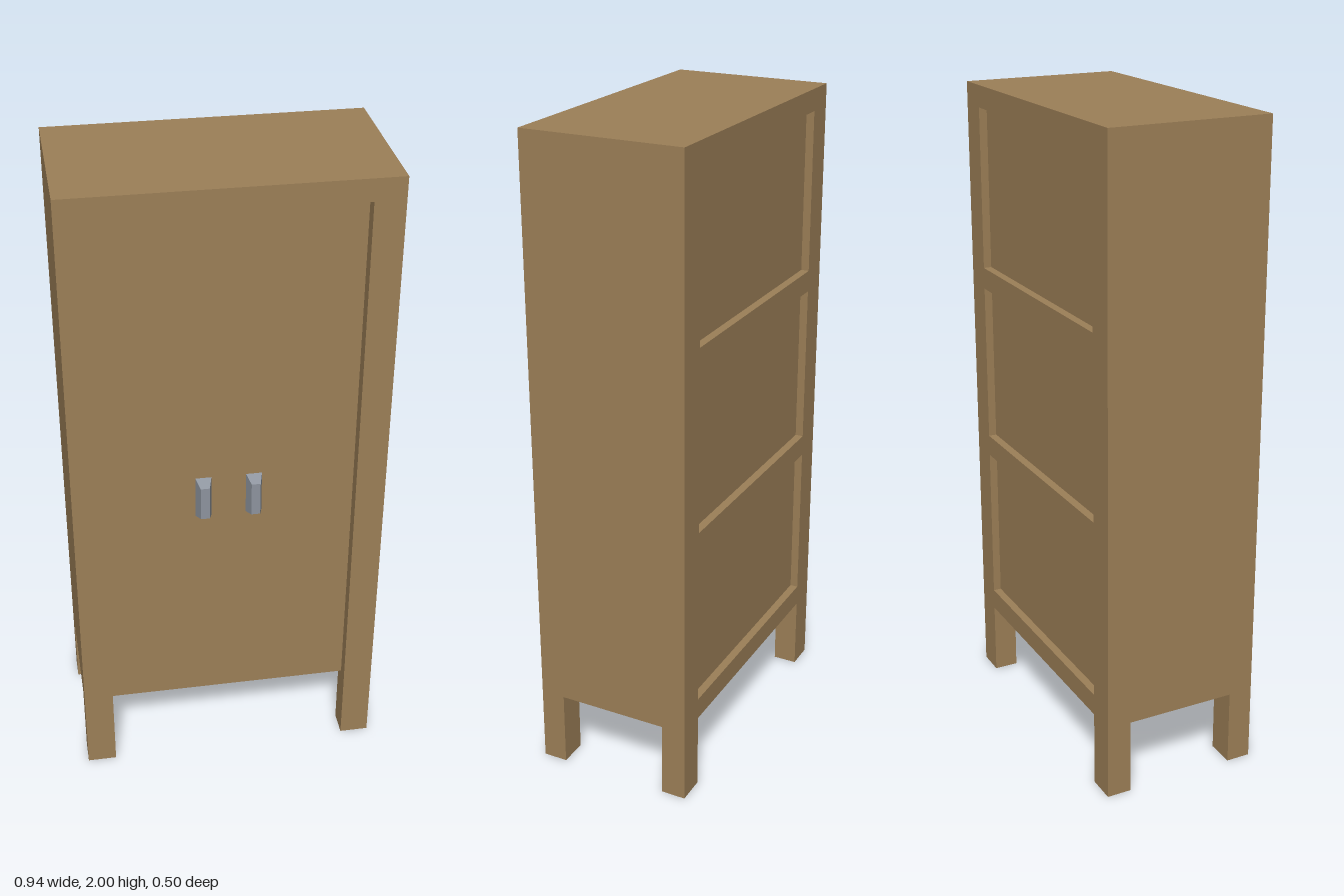
import * as THREE from 'three';

const HALF_W = 0.47, INNER_W = 0.38;   // outer and inner half widths
const HALF_D = 0.248, LEG_IN = 0.172;  // outer half depth, inner edge of legs
const HEIGHT = 2, FLOOR = 0.237, RAIL = 0.067;
const DOOR_Z = 0.208, BACK_Z = -0.223; // recessed front and back planes

export function createModel() {
  const wood = new THREE.MeshStandardMaterial({ color: 0x9c7f57 });
  wood.name = 'wood';
  const metal = new THREE.MeshStandardMaterial({ color: 0x8d949e });
  metal.name = 'handleMetal';

  const cabinet = new THREE.Group();
  cabinet.name = 'cabinet';

  const add = (name, geometry, material) => {
    const mesh = new THREE.Mesh(geometry, material);
    mesh.name = name;
    cabinet.add(mesh);
    return mesh;
  };
  // Box given by its limits on each axis
  const block = (name, x0, x1, y0, y1, z0, z1) =>
    add(name, new THREE.BoxGeometry(x1 - x0, y1 - y0, z1 - z0), wood)
      .position.set((x0 + x1) / 2, (y0 + y1) / 2, (z0 + z1) / 2);

  // Side walls, each cut away below to leave a front and a back leg
  const profile = new THREE.Shape([
    [-HALF_D, 0], [-LEG_IN, 0], [-LEG_IN, FLOOR], [LEG_IN, FLOOR],
    [LEG_IN, 0], [HALF_D, 0], [HALF_D, HEIGHT], [-HALF_D, HEIGHT],
  ].map(([z, y]) => new THREE.Vector2(z, y)));
  const sideGeometry = new THREE.ExtrudeGeometry(profile, {
    depth: HALF_W - INNER_W, bevelEnabled: false,
  });
  sideGeometry.rotateY(Math.PI / 2);
  add('leftSideWithLegs', sideGeometry, wood).position.x = INNER_W;
  add('rightSideWithLegs', sideGeometry, wood).position.x = -HALF_W;

  // Top board and the recessed body carrying the door and back panels
  block('topBoard', -INNER_W, INNER_W, HEIGHT - RAIL, HEIGHT, -HALF_D, HALF_D);
  block('bodyWithDoor', -INNER_W, INNER_W, FLOOR, HEIGHT - RAIL, BACK_Z, DOOR_Z);

  // Back rails dividing the back into three equal panels
  const pitch = (HEIGHT - RAIL - FLOOR) / 3;
  for (let i = 0; i < 3; i++) {
    const y = FLOOR + i * pitch;
    block('backRail' + (i + 1), -INNER_W, INNER_W, y, y + RAIL, -HALF_D, BACK_Z);
  }

  // Handles: blocks tapering toward the front
  const depth = 0.038;
  const handleGeometry = new THREE.BoxGeometry(0.048, 0.136, depth);
  const p = handleGeometry.attributes.position;
  for (let i = 0; i < p.count; i++) {
    if (p.getZ(i) > 0) p.setXY(i, p.getX(i) * 0.56, p.getY(i) * 0.8);
  }
  handleGeometry.computeVertexNormals();
  for (const side of [-1, 1]) {
    add(side > 0 ? 'leftHandle' : 'rightHandle', handleGeometry, metal)
      .position.set(side * 0.076, 0.998, DOOR_Z + depth / 2);
  }

  return cabinet;
}
